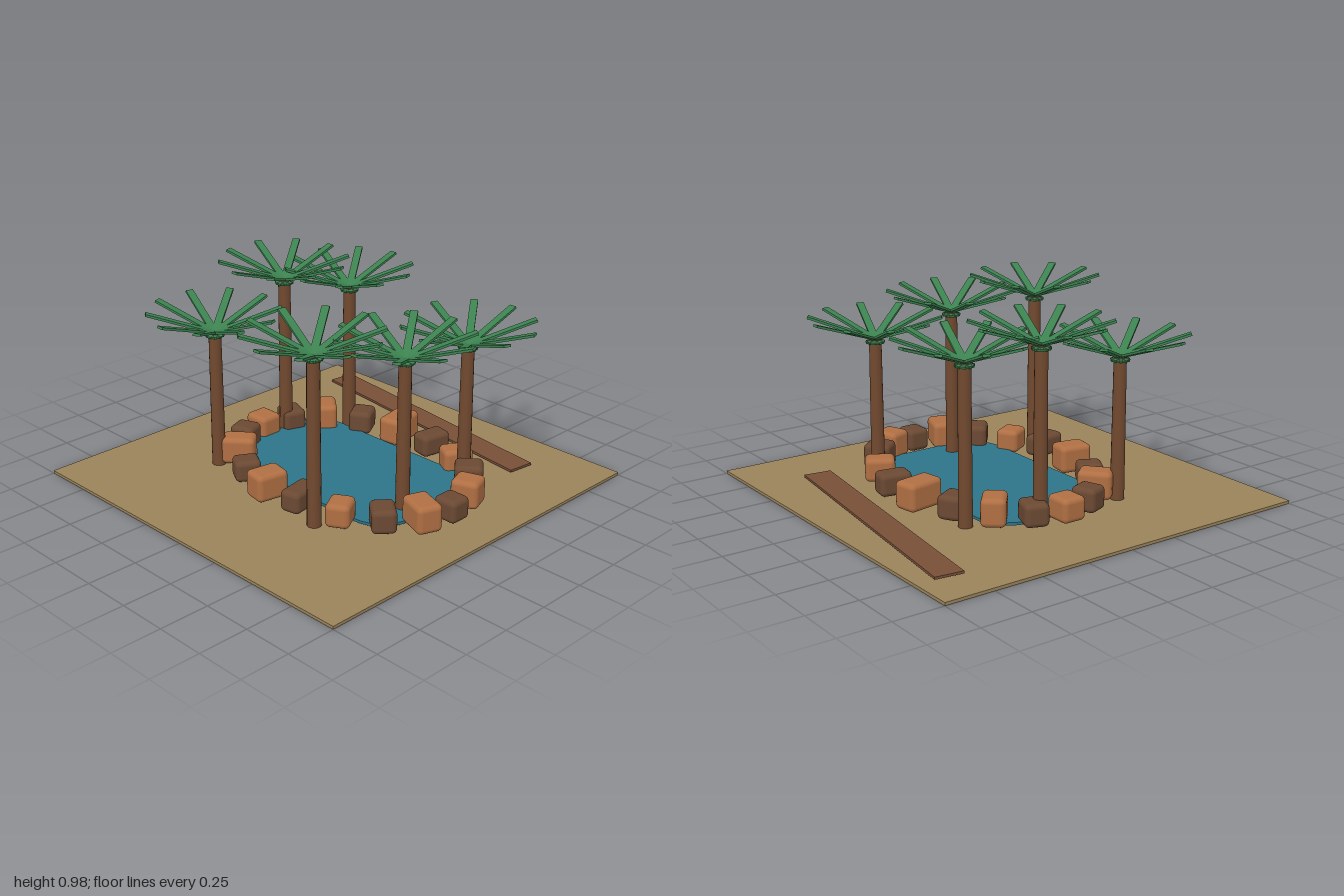
import * as THREE from 'three';
import { RoundedBoxGeometry } from 'three/addons/geometries/RoundedBoxGeometry.js';

const mat = (name, color) => {
  const m = new THREE.MeshStandardMaterial({ color });
  m.name = name;
  return m;
};

export function createModel() {
  const sand = mat('sand', 0x9a835b);
  const water = mat('water', 0x2d7489);
  const bark = mat('bark', 0x71492f);
  const plank = mat('plank', 0x774f37);
  const leaf = mat('leaf', 0x3c8250);
  const lightStone = mat('light stone', 0xb06f43);
  const darkStone = mat('dark stone', 0x6b4933);

  const model = new THREE.Group();
  model.name = 'oasis';
  const add = (parent, name, geometry, material, x = 0, y = 0, z = 0) => {
    const mesh = new THREE.Mesh(geometry, material);
    mesh.name = name;
    mesh.position.set(x, y, z);
    parent.add(mesh);
    return mesh;
  };

  // Ground slab
  add(model, 'ground', new THREE.BoxGeometry(2, 0.015, 2), sand, 0, 0.0075, 0);

  // Pool: a thin sheet with rounded corners
  const w = 0.58, d = 0.355, r = 0.18;
  const outline = new THREE.Shape();
  outline.absarc(w - r, d - r, r, 0, Math.PI / 2);
  outline.absarc(r - w, d - r, r, Math.PI / 2, Math.PI);
  outline.absarc(r - w, r - d, r, Math.PI, Math.PI * 1.5);
  outline.absarc(w - r, r - d, r, Math.PI * 1.5, Math.PI * 2);
  outline.closePath();
  const poolGeometry = new THREE.ExtrudeGeometry(outline, { depth: 0.014, bevelEnabled: false, curveSegments: 10 });
  poolGeometry.rotateX(-Math.PI / 2);
  add(model, 'pool', poolGeometry, water, 0.05, 0.029, -0.035);

  // Plank lying behind the pool
  const board = add(model, 'plank', new THREE.BoxGeometry(1.47, 0.012, 0.14), plank, -0.085, 0.031, -0.76);
  board.rotation.y = -0.124;

  // Ring of stones, alternating dark and light: [radial, height, tangential]
  const stones = [
    [0.13, 0.115, 0.12], [0.18, 0.14, 0.13], [0.15, 0.12, 0.12],
    [0.14, 0.12, 0.12], [0.18, 0.11, 0.11], [0.17, 0.14, 0.13],
    [0.13, 0.11, 0.12], [0.17, 0.14, 0.12], [0.13, 0.12, 0.12],
    [0.14, 0.12, 0.13], [0.14, 0.115, 0.12], [0.16, 0.14, 0.12],
    [0.14, 0.12, 0.12], [0.2, 0.14, 0.13], [0.165, 0.115, 0.11],
    [0.15, 0.12, 0.12], [0.14, 0.13, 0.13], [0.14, 0.14, 0.13],
  ];
  const ring = new THREE.Group();
  ring.name = 'stoneRing';
  model.add(ring);
  stones.forEach(([a, h, b], i) => {
    const t = (i / stones.length) * Math.PI * 2;
    const y = i === 4 ? 0.104 : 0.024 + h / 2;
    const stone = add(ring, 'stone', new RoundedBoxGeometry(a, h, b, 3, 0.026),
      i % 2 ? lightStone : darkStone, 0.08 + 0.655 * Math.cos(t), y, -0.035 + 0.47 * Math.sin(t));
    stone.rotation.y = -t;
  });

  // Palms: a straight trunk and ten rising fronds; [x, z, tip height]
  const palms = [
    [-0.36, -0.455, 0.91], [0.495, -0.4, 0.84], [-0.53, -0.155, 0.98],
    [0.525, 0.075, 0.91], [-0.485, 0.35, 0.84], [0.325, 0.46, 0.98],
  ];
  const slope = 0.325;
  const frondGeometry = new THREE.BoxGeometry(0.395, 0.012, 0.038);
  frondGeometry.translate(0.152, 0, 0);
  frondGeometry.rotateZ(slope);
  for (const [x, z, tip] of palms) {
    const palm = new THREE.Group();
    palm.name = 'palm';
    palm.position.set(x, 0, z);
    model.add(palm);
    const crown = tip - 0.118;
    const height = crown - 0.01;
    add(palm, 'trunk', new THREE.CylinderGeometry(0.031, 0.035, height, 16), bark, 0, 0.015 + height / 2, 0);
    for (let i = 0; i < 10; i++) {
      add(palm, 'frond', frondGeometry, leaf, 0, crown, 0).rotation.y = Math.PI / 2 + (i * Math.PI) / 5;
    }
  }
  return model;
}
